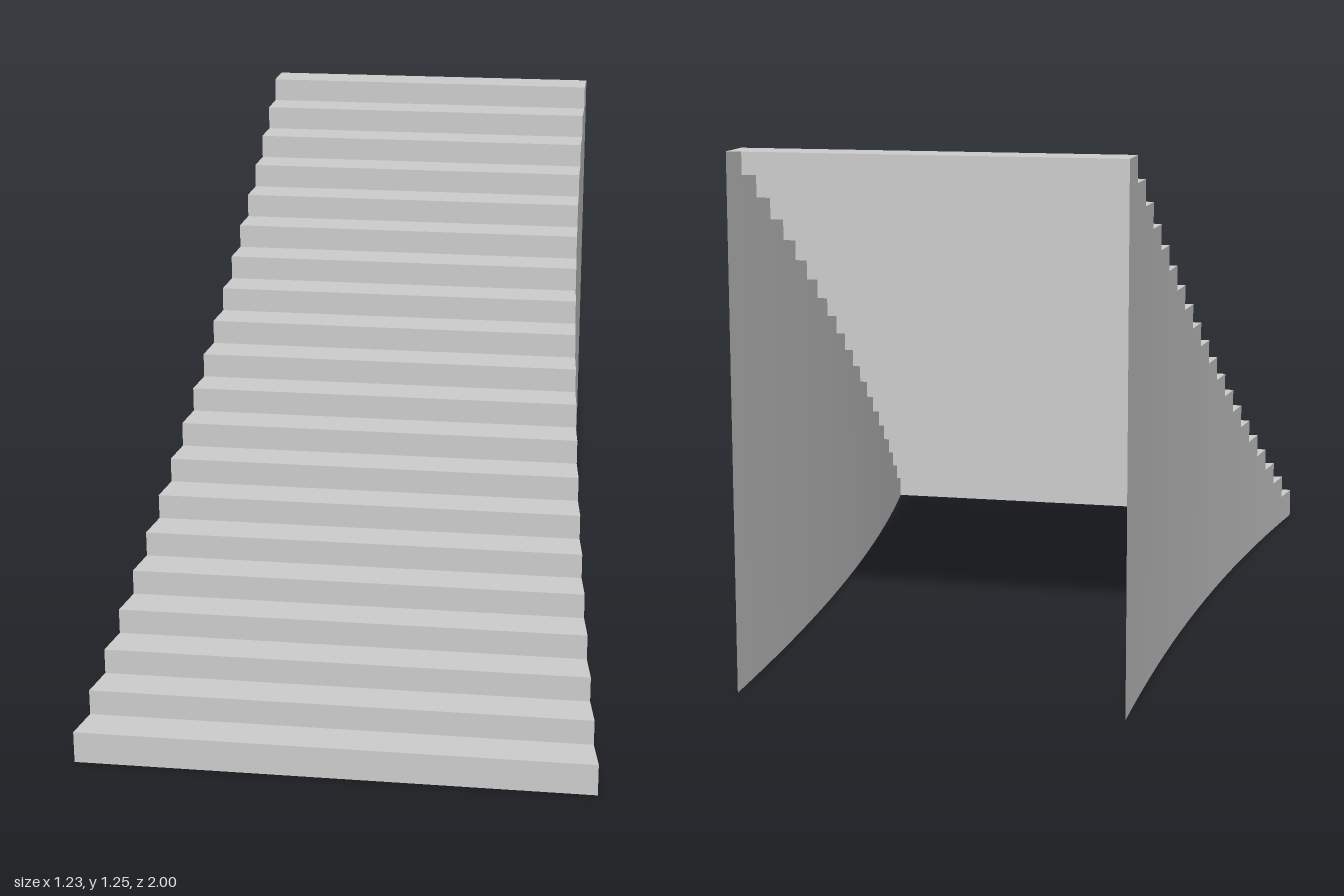
import * as THREE from 'three';

const STEPS = 20, FIRST_RISE = 0.0777, RISE = 0.0617;

// Depth of each riser, half width of the flare at a depth, height of each tread
const depth = i => 1 - 0.0968 * i - 0.00016 * i * i;
const halfWidth = z => 0.454 + 0.16 * Math.pow(Math.max(0, (1 + z) / 2), 2.1);
const height = i => FIRST_RISE + RISE * i;

const material = new THREE.MeshStandardMaterial({
  color: 0xcccccc, flatShading: true, side: THREE.DoubleSide,
});

// Mesh from quads, each given as four corners counter-clockwise from outside
function quadMesh(name, quads) {
  const positions = quads.flatMap(([a, b, c, d]) => [a, b, c, a, c, d].flat());
  const geometry = new THREE.BufferGeometry();
  geometry.setAttribute('position', new THREE.Float32BufferAttribute(positions, 3));
  geometry.computeVertexNormals();
  const mesh = new THREE.Mesh(geometry, material);
  mesh.name = name;
  return mesh;
}

export function createModel() {
  const group = new THREE.Group();
  group.name = 'flaredStaircase';
  const risers = [], treads = [], left = [], right = [];

  for (let i = 0; i < STEPS; i++) {
    const z0 = depth(i), z1 = depth(i + 1);
    const w0 = halfWidth(z0), w1 = halfWidth(z1);
    const y0 = i ? height(i - 1) : 0, y1 = height(i);
    risers.push([[-w0, y0, z0], [w0, y0, z0], [w0, y1, z0], [-w0, y1, z0]]);
    treads.push([[-w0, y1, z0], [w0, y1, z0], [w1, y1, z1], [-w1, y1, z1]]);
    // Thin curved side walls, one strip under each tread down to the floor
    left.push([[w0, 0, z0], [w1, 0, z1], [w1, y1, z1], [w0, y1, z0]]);
    right.push([[-w1, 0, z1], [-w0, 0, z0], [-w0, y1, z0], [-w1, y1, z1]]);
  }

  // The shell stays open at the back and underneath
  group.add(
    quadMesh('risers', risers),
    quadMesh('treads', treads),
    quadMesh('leftSideWall', left),
    quadMesh('rightSideWall', right),
  );
  return group;
}
